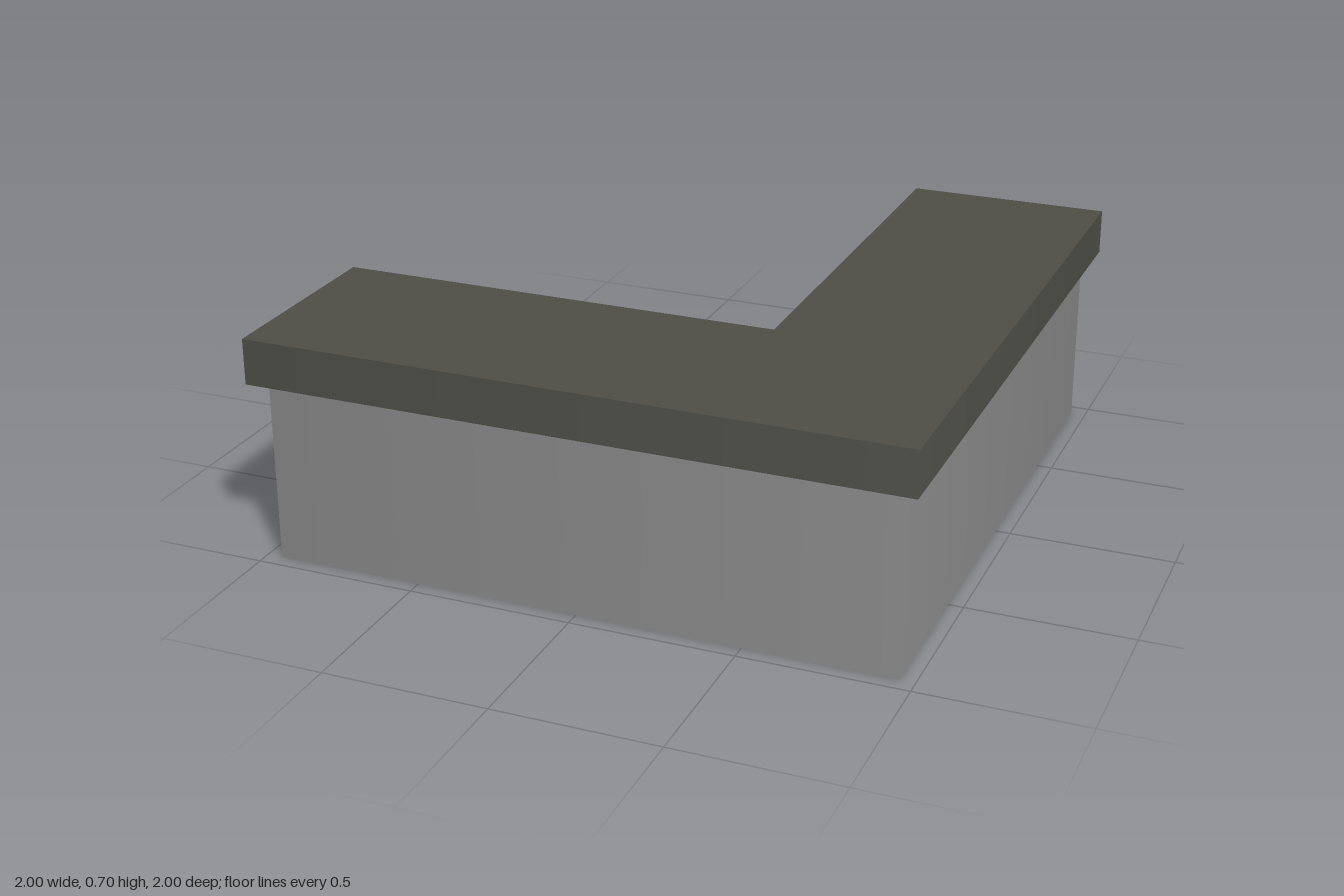
import * as THREE from 'three';

// L-shaped plan as [x, z] corners; corners 1 and 4 are the outer and inner bend
function plan(outer, inner) {
  return [[-outer, outer], [outer, outer], [outer, -outer], [inner, -outer], [inner, inner], [-outer, inner]];
}

// Open band of walls around a plan, shaded smoothly across the two bends
function wallBand(points, y0, y1) {
  const position = [], normal = [], index = [];
  const s = Math.SQRT1_2;
  const bends = { 1: [s, 0, s], 4: [-s, 0, -s] };
  points.forEach((p, i) => {
    const j = (i + 1) % points.length;
    const q = points[j];
    const face = new THREE.Vector3(p[1] - q[1], 0, q[0] - p[0]).normalize().toArray();
    const base = position.length / 3;
    for (const [k, [x, z]] of [[i, p], [j, q]]) {
      for (const y of [y0, y1]) {
        position.push(x, y, z);
        normal.push(...(bends[k] || face));
      }
    }
    index.push(base, base + 2, base + 3, base, base + 3, base + 1);
  });
  const geometry = new THREE.BufferGeometry();
  geometry.setAttribute('position', new THREE.Float32BufferAttribute(position, 3));
  geometry.setAttribute('normal', new THREE.Float32BufferAttribute(normal, 3));
  geometry.setIndex(index);
  return geometry;
}

export function createModel() {
  const bodyGrey = new THREE.MeshStandardMaterial({ color: 0x858585, side: THREE.DoubleSide });
  bodyGrey.name = 'body grey';
  const topGrey = new THREE.MeshStandardMaterial({ color: 0x4d4d46, side: THREE.DoubleSide });
  topGrey.name = 'dark countertop';

  const model = new THREE.Group();
  model.name = 'cornerCounter';
  const add = (name, geometry, material) => {
    const mesh = new THREE.Mesh(geometry, material);
    mesh.name = name;
    model.add(mesh);
  };

  const topHeight = 0.705, bodyHeight = 0.565;

  // Hollow body, open below
  add('counterBody', wallBand(plan(0.953, 0.417), 0, bodyHeight), bodyGrey);

  // Overhanging countertop: rim and flat surface
  const topPlan = plan(1, 0.37);
  add('countertopRim', wallBand(topPlan, bodyHeight, topHeight), topGrey);
  const shape = new THREE.Shape(topPlan.map(([x, z]) => new THREE.Vector2(x, -z)));
  const surface = new THREE.ShapeGeometry(shape).rotateX(-Math.PI / 2).translate(0, topHeight, 0);
  add('countertopSurface', surface, topGrey);

  return model;
}
